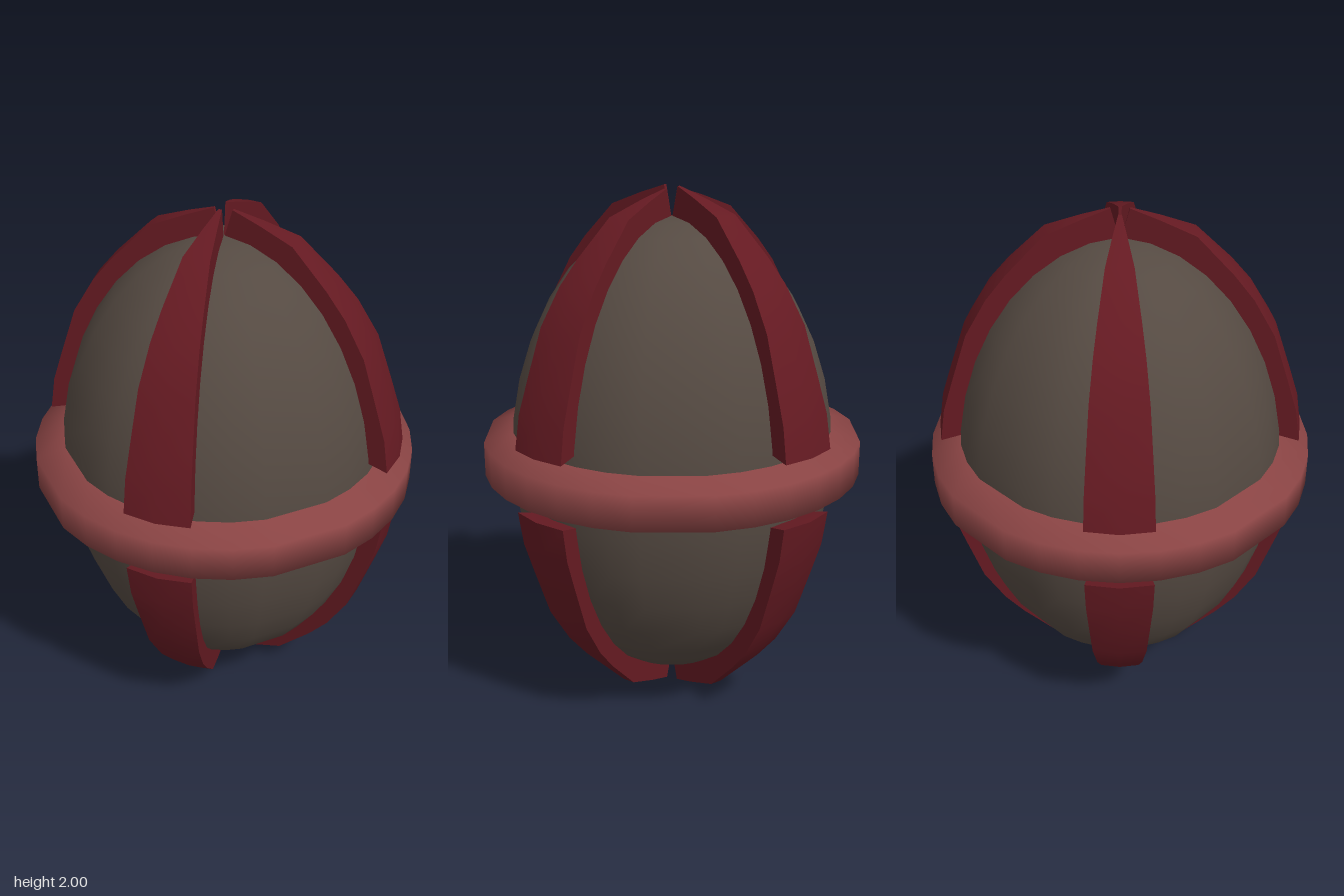
import * as THREE from 'three';
import { toCreasedNormals } from 'three/addons/utils/BufferGeometryUtils.js';

const RAD = Math.PI / 180;

// Skin a list of closed cross-sections; loop joins the last to the first, otherwise both ends are capped.
function loft(sections, loop, crease) {
  const pos = [];
  const tri = (a, b, c) => pos.push(...a, ...b, ...c);
  const n = sections[0].length, m = sections.length;
  for (let i = 0; i < (loop ? m : m - 1); i++) {
    const s = sections[i], t = sections[(i + 1) % m];
    for (let j = 0; j < n; j++) {
      const k = (j + 1) % n;
      tri(s[j], s[k], t[k]);
      tri(s[j], t[k], t[j]);
    }
  }
  if (!loop) {
    const s = sections[0], t = sections[m - 1];
    for (let j = 1; j < n - 1; j++) {
      tri(s[0], s[j + 1], s[j]);
      tri(t[0], t[j], t[j + 1]);
    }
  }
  const g = new THREE.BufferGeometry();
  g.setAttribute('position', new THREE.Float32BufferAttribute(pos, 3));
  return toCreasedNormals(g, crease * RAD);
}

const polar = (r, y, a) => [r * Math.sin(a * RAD), y, r * Math.cos(a * RAD)];

// Shared plan: 32 steps round the circle, with the four diagonal corners left out
const angles = [];
for (let i = 0; i < 32; i++) if (i % 8 !== 4) angles.push(i * 11.25);

// Outer line of a band, as radius and height above the equator
const bandLine = [[0.68, 0.12], [0.66, 0.25], [0.62, 0.375], [0.56, 0.555],
  [0.48, 0.69], [0.405, 0.78], [0.27, 0.915], [0.14, 0.965], [0.035, 1]];

// One tapering band, from the equator to a pole; side is 1 for upper, -1 for lower
function bandGeometry(side, height) {
  const half = 10.45;
  const sections = bandLine.map(([r, h], i) => {
    // matching point just under the body surface
    const t = (9 + 81 * i / (bandLine.length - 1)) * RAD;
    const ri = Math.max(0.001, 0.6 * Math.cos(t)), yi = 1 + side * 0.88 * Math.sin(t);
    const y = 1 + side * h * height;
    return [polar(ri, yi, -half), polar(r, y, -half), polar(r * 1.01, y, 0),
      polar(r, y, half), polar(ri, yi, half)];
  });
  if (side < 0) sections.reverse();
  return loft(sections, false, 40);
}

export function createModel() {
  const group = new THREE.Group();
  const add = (name, geometry, color, turn = 0) => {
    const mesh = new THREE.Mesh(geometry, new THREE.MeshStandardMaterial({ color }));
    mesh.name = name;
    mesh.rotation.y = turn;
    group.add(mesh);
  };

  // Egg-shaped body
  const rings = [];
  for (let t = -90; t <= 90; t += 10) {
    const r = Math.max(0.001, 0.615 * Math.cos(t * RAD));
    rings.push(angles.map((a) => polar(r, 1 + 0.89 * Math.sin(t * RAD), a)));
  }
  add('body', loft(rings, false, 60), 0x554a42);

  // Bevelled belt round the equator
  const belt = [[0.6, 1.1], [0.72, 1.065], [0.72, 0.935], [0.6, 0.9]];
  add('belt', loft(angles.map((a) => belt.map(([r, y]) => polar(r, y, a))), true, 80), 0x8a4444);

  // Four bands above and four below the belt
  for (let i = 0; i < 4; i++) {
    const height = i % 2 ? 0.99 : 1;
    add('upperBand' + (i + 1), bandGeometry(1, height), 0x651a22, i * Math.PI / 2);
    add('lowerBand' + (i + 1), bandGeometry(-1, height), 0x651a22, i * Math.PI / 2);
  }
  return group;
}
